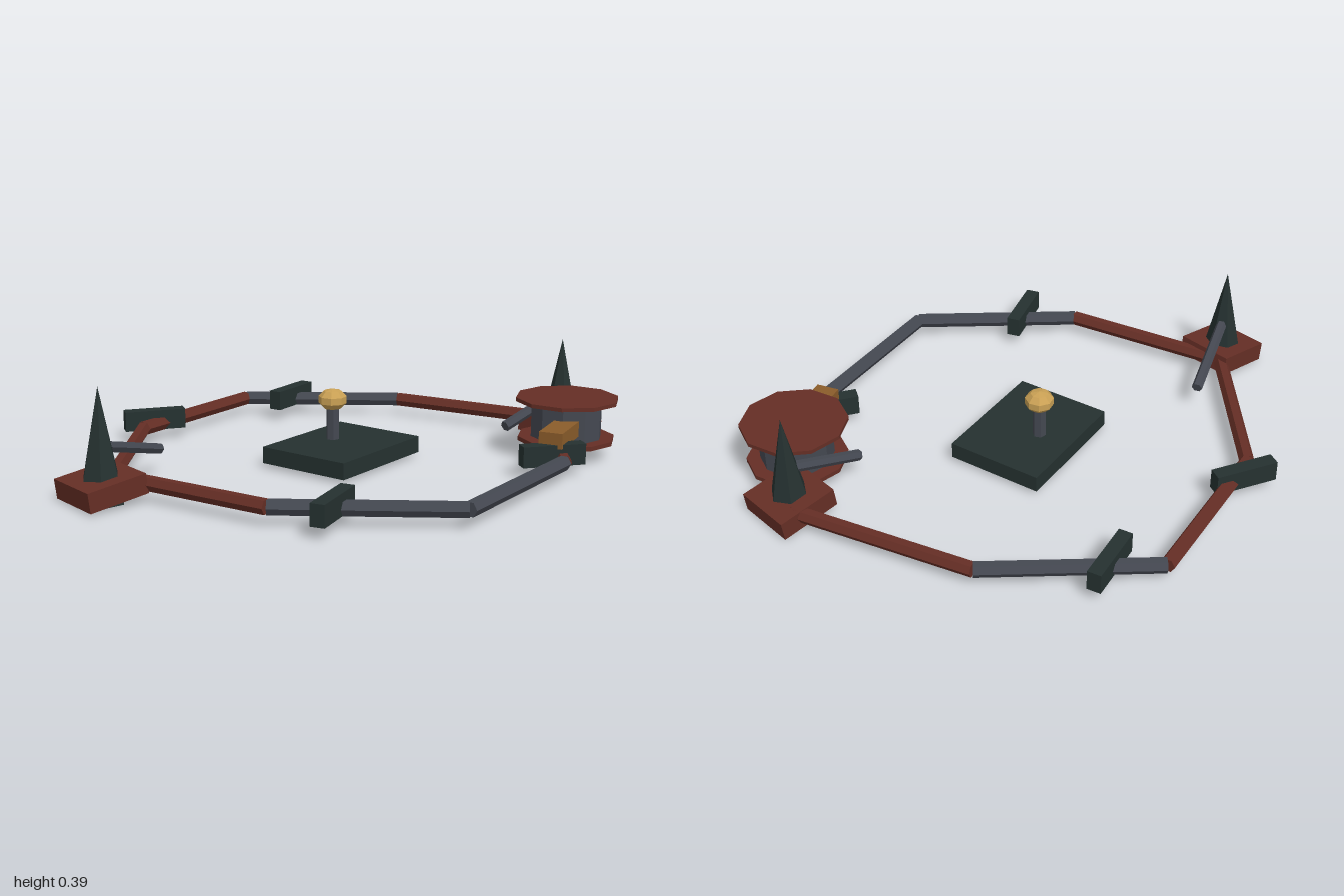
import * as THREE from 'three';

const material = (name, color) => {
  const m = new THREE.MeshStandardMaterial({ color, flatShading: true });
  m.name = name;
  return m;
};

export function createModel() {
  const root = new THREE.Group();
  root.name = 'ringFort';
  const red = material('rustRed', 0x652e25);
  const grey = material('slateGrey', 0x444851);
  const dark = material('darkGreen', 0x253130);
  const gold = material('paleGold', 0xc9a054);
  const brown = material('brass', 0x8a5c2a);

  const add = (name, geometry, mat, x, y, z) => {
    const mesh = new THREE.Mesh(geometry, mat);
    mesh.name = name;
    mesh.position.set(x, y, z);
    root.add(mesh);
    return mesh;
  };

  // Six-sided bar between two points, with a flat face upwards
  const bar = (name, a, b, radius, mat) => {
    const from = new THREE.Vector3(...a), to = new THREE.Vector3(...b);
    const g = new THREE.CylinderGeometry(radius, radius, from.distanceTo(to), 6);
    g.rotateY(Math.PI / 6).rotateX(Math.PI / 2);
    const mid = from.clone().add(to).multiplyScalar(0.5);
    add(name, g, mat, mid.x, mid.y, mid.z).lookAt(to);
  };

  // Irregular eight-sided ring of bars: x, z and colour of the bar that follows
  const ring = [
    [0.21, -0.835, grey], [0.675, -0.42, red], [0.92, 0.2, red], [0.48, 0.66, grey],
    [-0.145, 0.83, grey], [-0.615, 0.41, red], [-0.81, -0.19, red], [-0.39, -0.67, red],
  ];
  ring.forEach(([x, z, mat], i) => {
    const [nx, nz] = ring[(i + 1) % ring.length];
    bar('ringBar', [x, 0.062, z], [nx, 0.062, nz], 0.027, mat);
  });

  // Short blocks laid across the ring: x, z, turn
  [[-0.31, -0.72, -0.38], [0.34, -0.705, 0.31], [-0.475, 0.565, 0.46], [0.49, 0.595, -0.46]]
    .forEach(([x, z, turn]) => {
      add('crossBlock', new THREE.BoxGeometry(0.23, 0.075, 0.05), dark, x, 0.077, z).rotation.y = turn;
    });

  // Two spike towers on tilted pads, each with a sloping arm
  [[-1, -0.133, [-0.565, 0.095, -0.283]], [1, 0.275, [0.595, 0.095, 0.265]]].forEach(([side, z, tip]) => {
    const x = side * 0.886;
    add('towerPad', new THREE.BoxGeometry(0.22, 0.07, 0.22), red, x, 0.055, z).rotation.z = -side * 0.13;
    add('towerSpike', new THREE.ConeGeometry(0.083, 0.39, 6).rotateY(Math.PI / 6), dark, x, 0.195, z);
    bar('towerArm', [x, 0.19, z], tip, 0.02, grey);
  });

  // Round turret: two plates around a ten-sided drum
  const disc = (name, r, bottom, top, mat) => add(name,
    new THREE.CylinderGeometry(r, r, top - bottom, 10).rotateY(Math.PI / 10),
    mat, 0.732, (bottom + top) / 2, 0.442);
  disc('turretBase', 0.178, 0.058, 0.074, red);
  disc('turretDrum', 0.13, 0.074, 0.206, grey);
  disc('turretRoof', 0.189, 0.206, 0.22, red);
  // Block reaching out of the turret
  add('turretBarrel', new THREE.BoxGeometry(0.23, 0.056, 0.085), brown, 0.58, 0.129, 0.549).rotation.y = 0.43;

  // Central slab with a post and a faceted knob
  add('centreSlab', new THREE.BoxGeometry(0.46, 0.06, 0.36), dark, 0.037, 0.045, -0.01).rotation.y = 0.236;
  bar('centrePost', [0.037, 0.06, -0.063], [0.037, 0.2, -0.063], 0.024, grey);
  const knob = new THREE.SphereGeometry(0.054, 8, 5).scale(1, 0.74, 1);
  add('knob', knob, gold, 0.037, 0.222, -0.063);

  return root;
}
